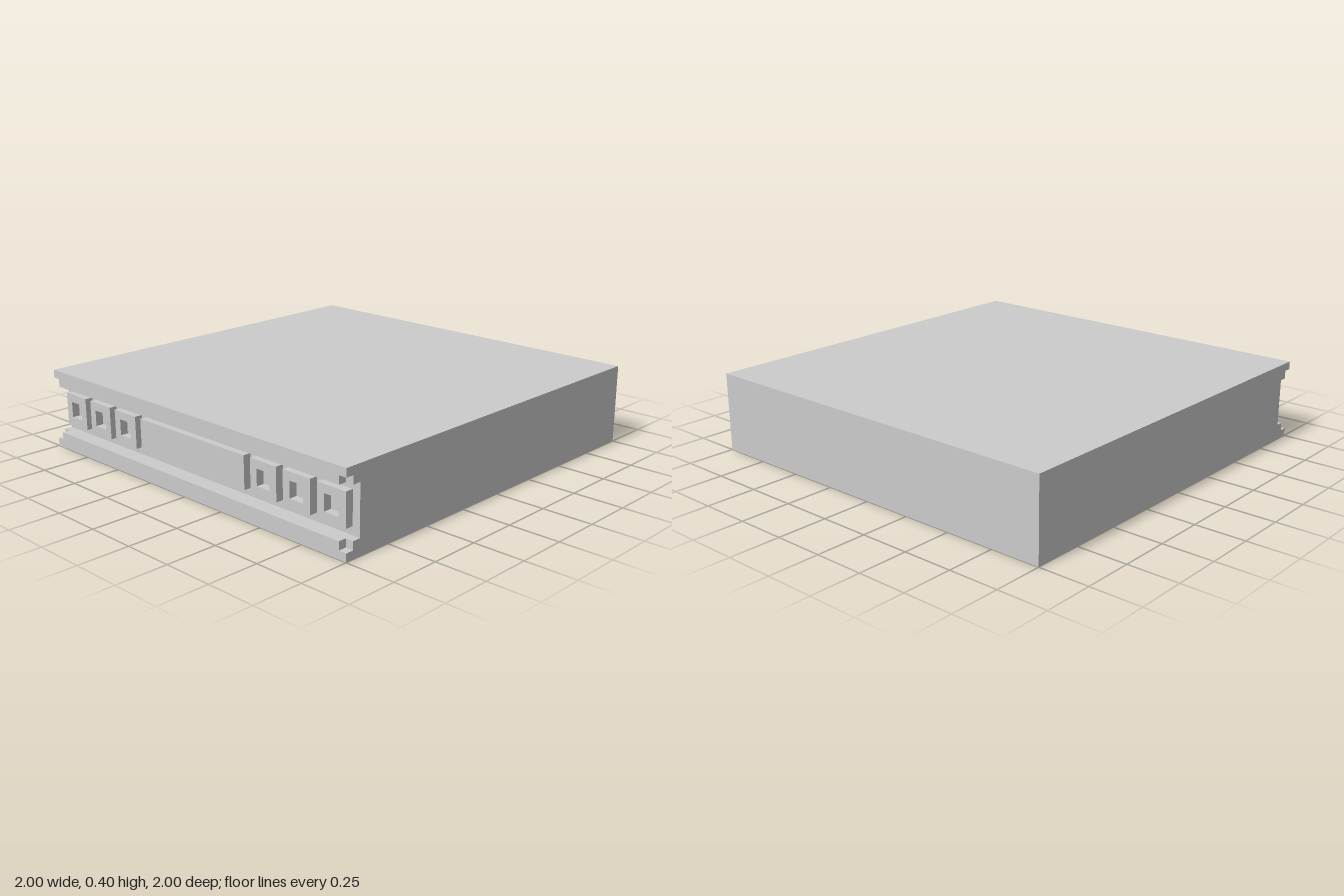
import * as THREE from 'three';

const material = new THREE.MeshStandardMaterial({ color: 0xcccccc, flatShading: true });

function addMesh(parent, name, geometry, x = 0, y = 0, z = 0) {
  const mesh = new THREE.Mesh(geometry, material);
  mesh.name = name;
  mesh.position.set(x, y, z);
  parent.add(mesh);
  return mesh;
}

// Side profile in (z, y): a slab whose front is a channel between two lips.
// A notch cuts the inner front corner of each lip.
function slabProfile(notch) {
  const points = [[-1, 0], [1, 0]];
  if (notch > 0) points.push([1, 0.08 - notch], [1 - notch, 0.08 - notch], [1 - notch, 0.08]);
  else points.push([1, 0.08]);
  points.push([0.92, 0.08]);
  const upper = points.map(([z, y]) => [z, 0.4 - y]).reverse();
  return new THREE.Shape([...points, ...upper].map(([z, y]) => new THREE.Vector2(z, y)));
}

// Extrudes a profile along x from x0 to x1
function addSlab(parent, name, notch, x0, x1) {
  const geometry = new THREE.ExtrudeGeometry(slabProfile(notch), { depth: x1 - x0, bevelEnabled: false });
  geometry.rotateY(-Math.PI / 2);
  addMesh(parent, name, geometry, x1);
}

// Square frame with a square hole
function frameGeometry(outer, inner, depth) {
  const square = (s) => [[-s, -s], [s, -s], [s, s], [-s, s]].map(([x, y]) => new THREE.Vector2(x / 2, y / 2));
  const shape = new THREE.Shape(square(outer));
  shape.holes.push(new THREE.Path(square(inner).reverse()));
  return new THREE.ExtrudeGeometry(shape, { depth, bevelEnabled: false });
}

export function createModel() {
  const model = new THREE.Group();
  model.name = 'channelFrontedSlab';

  // Body, with notched lips at both ends
  const body = new THREE.Group();
  body.name = 'body';
  model.add(body);
  addSlab(body, 'bodyMiddle', 0, -0.96, 0.96);
  addSlab(body, 'bodyRightEnd', 0.04, -1, -0.96);
  addSlab(body, 'bodyLeftEnd', 0.04, 0.96, 1);

  // Raised centre panel in the front channel
  addMesh(model, 'centrePanel', new THREE.BoxGeometry(0.72, 0.16, 0.04), 0, 0.2, 0.94);

  // Three square frames on each side of the panel
  const frame = frameGeometry(0.16, 0.08, 0.04);
  for (const side of [-1, 1]) {
    for (let i = 0; i < 3; i++) {
      addMesh(model, side > 0 ? 'leftFrame' : 'rightFrame', frame, side * (0.48 + i * 0.2), 0.2, 0.92);
    }
  }
  return model;
}
